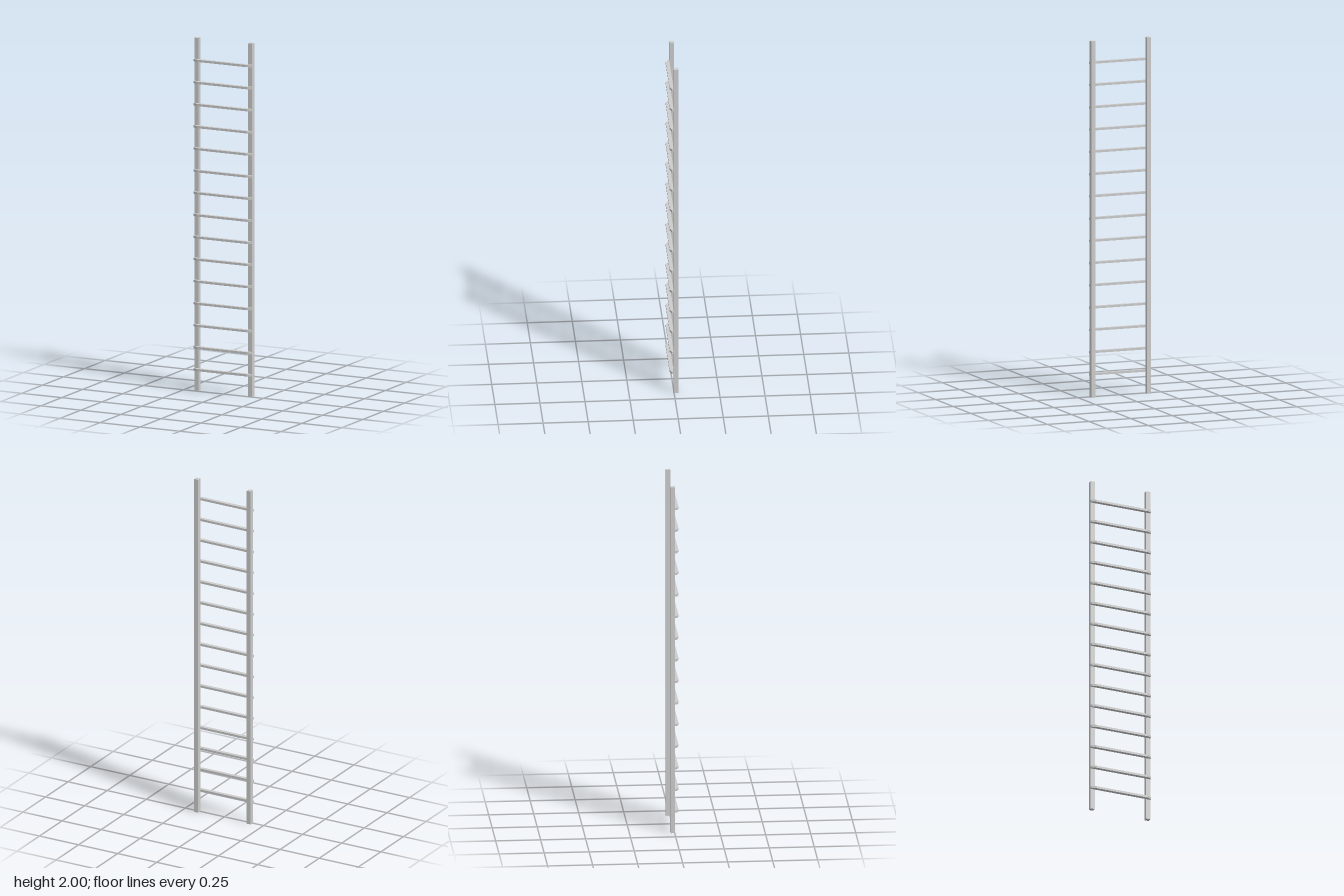
import * as THREE from 'three';

const HEIGHT = 2, HALF_WIDTH = 0.18, RAIL = 0.025;
const BACK = -0.023, JOINT = 0.002, FRONT = 0.023;
const RUNGS = 15, RUNG_HEIGHT = 0.0125;

export function createModel() {
  const ladder = new THREE.Group();
  ladder.name = 'ladder';
  const material = new THREE.MeshStandardMaterial({ color: 0xcccccc, flatShading: true });

  // Square upright rails
  const railGeometry = new THREE.BoxGeometry(RAIL, HEIGHT, JOINT - BACK);
  for (const side of [-1, 1]) {
    const rail = new THREE.Mesh(railGeometry, material);
    rail.name = side > 0 ? 'leftRail' : 'rightRail';
    rail.position.set(side * (HALF_WIDTH - RAIL / 2), HEIGHT / 2, (BACK + JOINT) / 2);
    ladder.add(rail);
  }

  // Rung outline seen from above, with bevelled front corners (shape y = -z)
  const inner = HALF_WIDTH - RAIL, bevelStart = 0.0125;
  const outline = new THREE.Shape([
    [-HALF_WIDTH, JOINT], [-HALF_WIDTH, bevelStart], [-inner, FRONT],
    [inner, FRONT], [HALF_WIDTH, bevelStart], [HALF_WIDTH, JOINT],
  ].map(([x, z]) => new THREE.Vector2(x, -z)));
  const rungGeometry = new THREE.ExtrudeGeometry(outline, { depth: RUNG_HEIGHT, bevelEnabled: false });
  rungGeometry.rotateX(-Math.PI / 2).translate(0, -RUNG_HEIGHT / 2, 0);

  // Evenly spaced rungs fixed to the front of the rails
  for (let i = 1; i <= RUNGS; i++) {
    const rung = new THREE.Mesh(rungGeometry, material);
    rung.name = `rung${i}`;
    rung.position.y = (HEIGHT * i) / (RUNGS + 1);
    ladder.add(rung);
  }
  return ladder;
}
